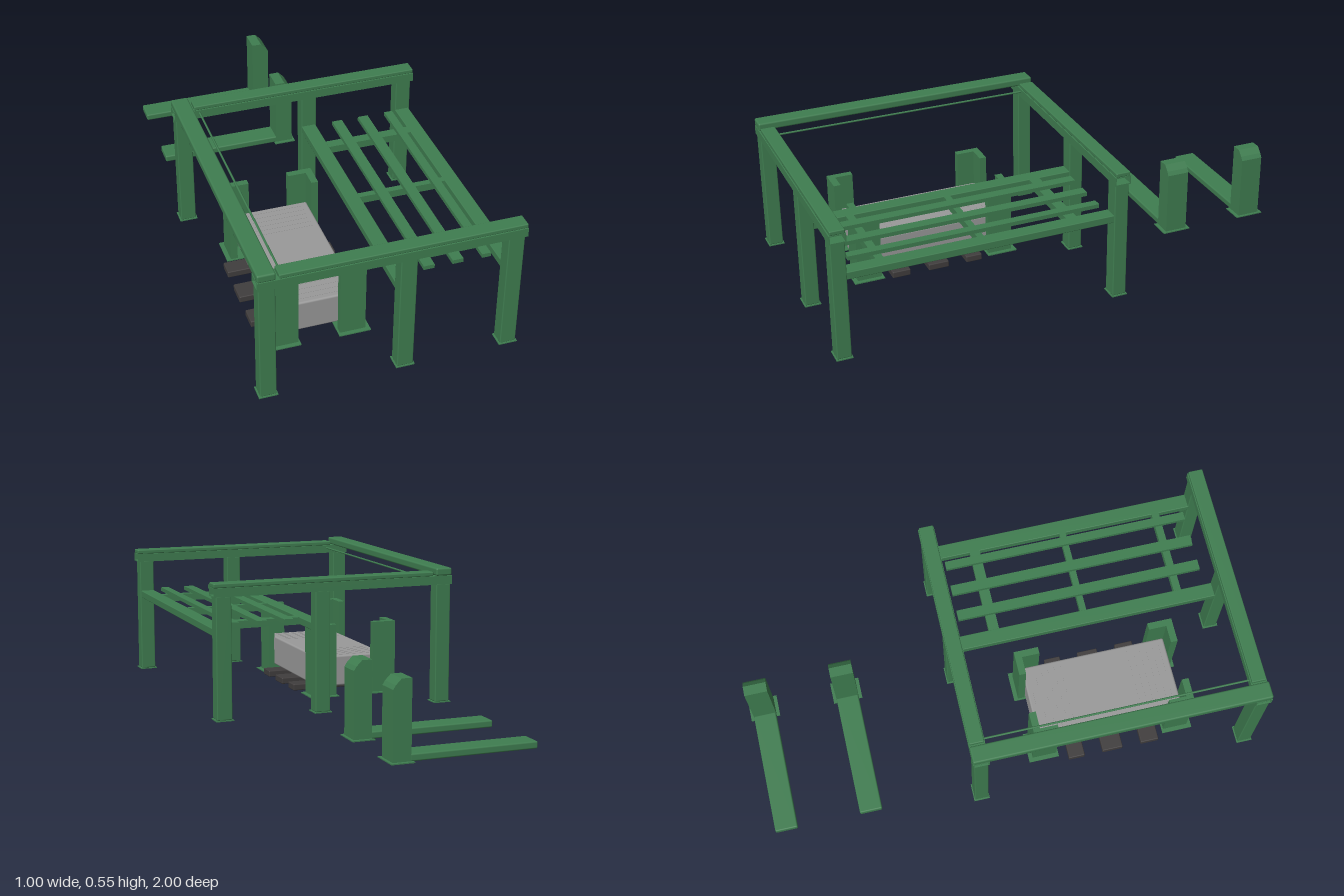
import * as THREE from 'three';
import { RoundedBoxGeometry } from 'three/addons/geometries/RoundedBoxGeometry.js';

const green = new THREE.MeshStandardMaterial({ color: 0x3f7d50 });
const grey = new THREE.MeshStandardMaterial({ color: 0x999999 });
const dark = new THREE.MeshStandardMaterial({ color: 0x403d3d });

export function createModel() {
  const model = new THREE.Group();

  const add = (name, geometry, material = green) => {
    const mesh = new THREE.Mesh(geometry, material);
    mesh.name = name;
    model.add(mesh);
    return mesh;
  };
  // Box given by its extents on each axis, optionally with rounded edges
  const box = (name, [x0, x1], [y0, y1], [z0, z1], material = green, radius = 0) => {
    const size = [x1 - x0, y1 - y0, z1 - z0];
    const g = radius ? new RoundedBoxGeometry(...size, 2, radius) : new THREE.BoxGeometry(...size);
    g.translate((x0 + x1) / 2, (y0 + y1) / 2, (z0 + z1) / 2);
    return add(name, g, material);
  };
  const shape = (points) => new THREE.Shape(points.map(([x, y]) => new THREE.Vector2(x, y)));
  const extrude = (s, depth) => new THREE.ExtrudeGeometry(s, { depth, bevelEnabled: false });

  // Main frame: six posts on thin base plates
  for (const z of [0.968, -0.142]) {
    for (const x of [-0.465, 0.054, 0.46]) {
      box('framePost', [x - 0.031, x + 0.031], [0.004, 0.487], [z - 0.028, z + 0.028], green, 0.004);
      box('framePostBase', [x - 0.036, x + 0.036], [0, 0.004], [z - 0.032, z + 0.032]);
    }
    // Hollow cross beam with a narrower rail on top
    const tube = shape([[-0.032, 0.485], [0.032, 0.485], [0.032, 0.52], [-0.032, 0.52]]);
    tube.holes.push(new THREE.Path([[-0.028, 0.489], [-0.028, 0.516], [0.028, 0.516], [0.028, 0.489]]
      .map(([a, b]) => new THREE.Vector2(a, b))));
    const beam = add('hollowCrossBeam', extrude(tube, 1));
    beam.rotation.y = Math.PI / 2;
    beam.position.set(-0.5, 0, z);
    box('crossBeamRail', [-0.42, 0.5], [0.52, 0.537], [z - 0.029, z + 0.029], green, 0.004);
  }

  // Long side beam and thin tie rod
  box('sideBeam', [-0.5, -0.432], [0.52, 0.551], [-0.174, 1], green, 0.007);
  const rod = add('tieRod', new THREE.CylinderGeometry(0.004, 0.004, 1.06, 10));
  rod.rotation.x = Math.PI / 2;
  rod.position.set(-0.4, 0.508, 0.413);

  // Shelf: two long beams, three cross bars, three slats
  for (const x of [0.053, 0.458])
    box('shelfBeam', [x - 0.029, x + 0.029], [0.325, 0.355], [-0.12, 0.945], green, 0.003);
  for (const [z, h] of [[0.04, 0.021], [0.408, 0.013], [0.8, 0.015]])
    box('shelfCrossBar', [0.08, 0.432], [0.325, 0.355], [z - h, z + h]);
  for (const [x0, x1] of [[0.145, 0.187], [0.256, 0.298], [0.371, 0.405]])
    box('shelfSlat', [x0, x1], [0.354, 0.37], [-0.09, 0.91]);

  // Four angle guides, their corners pointing outward
  const angle = shape([[0, 0], [0.1, 0], [0.1, 0.028], [0.028, 0.028], [0.028, 0.1], [0, 0.1]]);
  const angleGeometry = extrude(angle, 0.296).rotateX(-Math.PI / 2);
  const turns = [
    [-0.375, 0.755, 0], [-0.012, 0.755, Math.PI / 2],
    [-0.012, 0.1, Math.PI], [-0.375, 0.1, -Math.PI / 2],
  ];
  for (const [x, z, turn] of turns) {
    const guide = add('angleGuide', angleGeometry);
    guide.position.set(x, 0.004, z);
    guide.rotation.y = turn;
    const sx = x < -0.2 ? 1 : -1, sz = z < 0.4 ? 1 : -1;
    const cx = x + sx * 0.045, cz = z + sz * 0.045;
    box('angleGuideBase', [cx - 0.062, cx + 0.062], [0, 0.004], [cz - 0.062, cz + 0.062]);
  }

  // Load resting on three dark bearers
  box('load', [-0.335, -0.038], [0.036, 0.163], [0.128, 0.728], grey, 0.008);
  for (const start of [0.15, 0.565])
    for (let i = 0; i < 6; i++) {
      const z = start + i * 0.027;
      box('loadRib', [-0.31, -0.065], [0.162, 0.164], [z, z + 0.005], grey);
    }
  for (const [z0, z1] of [[0.243, 0.31], [0.385, 0.47], [0.547, 0.622]])
    box('bearer', [-0.418, 0.024], [0.003, 0.03], [z0, z1], dark, 0.004);

  // Two free-standing L-shaped forks with sloped post tops
  const forkPost = shape([[0.046, 0.004], [0.118, 0.004], [0.118, 0.262], [0.108, 0.278], [0.086, 0.3], [0.046, 0.3]]);
  for (const z of [-0.94, -0.592]) {
    add('forkPost', extrude(forkPost, 0.092)).position.z = z - 0.046;
    box('forkArm', [-0.452, 0.05], [0.002, 0.03], [z - 0.046, z + 0.046], green, 0.006);
    box('forkBase', [0.038, 0.128], [0, 0.004], [z - 0.06, z + 0.06]);
  }

  return model;
}
